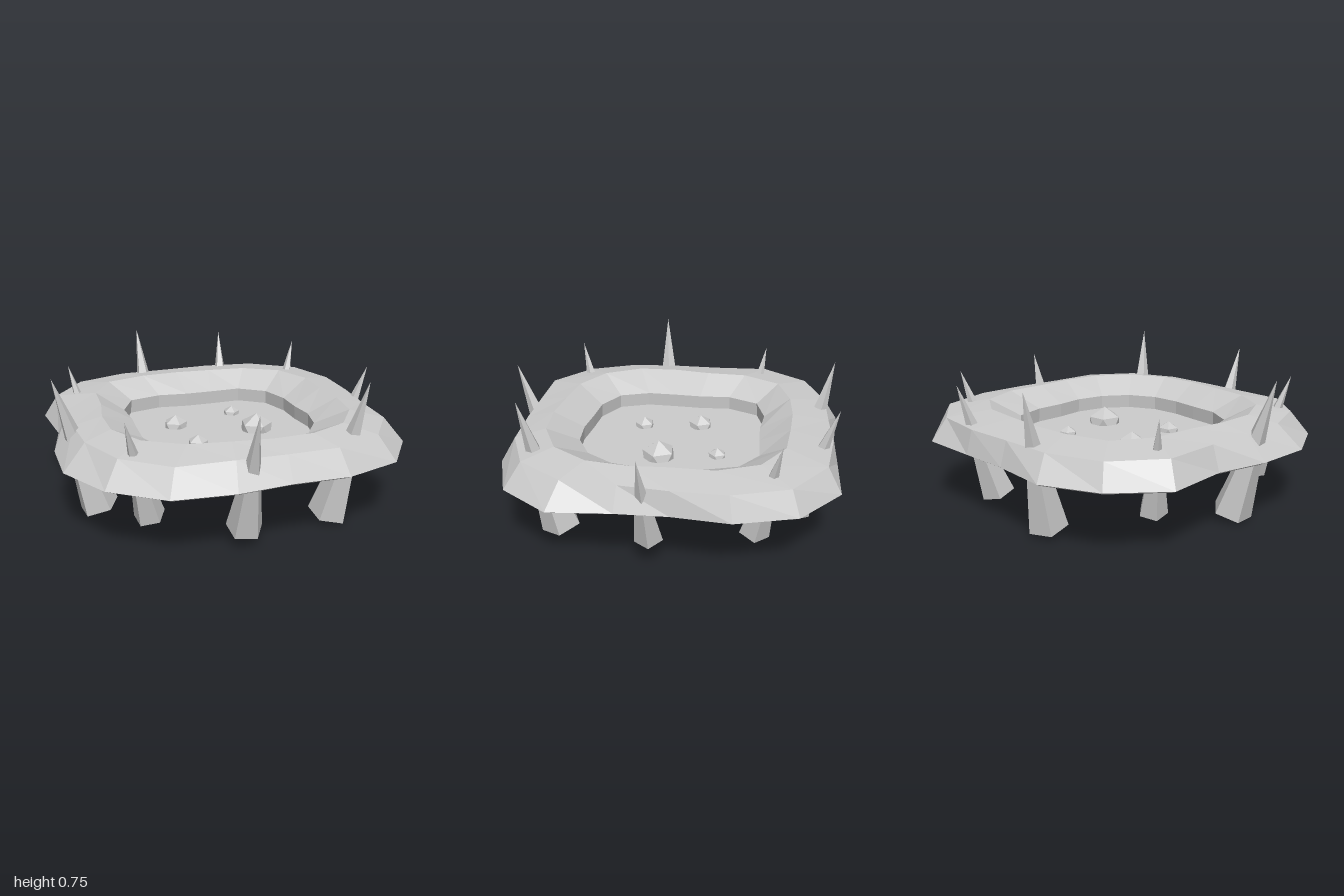
import * as THREE from 'three';

const material = new THREE.MeshStandardMaterial({ color: 0xcccccc, flatShading: true });

function addMesh(parent, name, geometry) {
  const mesh = new THREE.Mesh(geometry, material);
  mesh.name = name;
  parent.add(mesh);
  return mesh;
}

// Closed ring of stone: each loop holds a height and one radius per 18 degree step
function ringGeometry(loops) {
  const n = loops[0].radii.length;
  const point = (j, i) => {
    const { y, radii } = loops[j % loops.length];
    const a = (i % n) / n * Math.PI * 2;
    return [Math.cos(a) * radii[i % n], y, Math.sin(a) * radii[i % n]];
  };
  const positions = [];
  for (let j = 0; j < loops.length; j++) {
    for (let i = 0; i < n; i++) {
      const a = point(j, i), b = point(j + 1, i), c = point(j + 1, i + 1), d = point(j, i + 1);
      positions.push(...a, ...b, ...c, ...a, ...c, ...d);
    }
  }
  const geometry = new THREE.BufferGeometry();
  geometry.setAttribute('position', new THREE.Float32BufferAttribute(positions, 3));
  geometry.computeVertexNormals();
  return geometry;
}

// Five-sided cone from the centre of its base to its tip
function addTooth(parent, base, tip) {
  const from = new THREE.Vector3(...base), to = new THREE.Vector3(...tip);
  const axis = to.clone().sub(from);
  const length = axis.length();
  const tooth = addMesh(parent, 'spike', new THREE.ConeGeometry(length * 0.14, length, 5));
  tooth.position.copy(from).add(to).multiplyScalar(0.5);
  tooth.quaternion.setFromUnitVectors(new THREE.Vector3(0, 1, 0), axis.normalize());
}

export function createModel() {
  const model = new THREE.Group();
  model.name = 'spikedPool';

  // Uneven rim: widest edge, upper shoulder, raised lip, inner edge
  const outer = [0.99, 0.915, 0.84, 0.885, 0.975, 0.99, 0.965, 0.89, 0.85, 1.0,
    1.0, 0.96, 0.86, 0.88, 1.0, 1.0, 0.91, 0.81, 0.83, 0.97];
  const shoulder = [0.89, 0.84, 0.78, 0.79, 0.89, 0.89, 0.84, 0.79, 0.80, 0.92,
    0.94, 0.88, 0.82, 0.85, 0.92, 0.94, 0.865, 0.79, 0.78, 0.865];
  const lip = [0.71, 0.68, 0.64, 0.63, 0.68, 0.71, 0.69, 0.64, 0.62, 0.69,
    0.73, 0.67, 0.63, 0.63, 0.69, 0.72, 0.68, 0.62, 0.64, 0.69];
  const inner = [0.525, 0.51, 0.48, 0.47, 0.515, 0.545, 0.505, 0.46, 0.46, 0.53,
    0.575, 0.52, 0.46, 0.47, 0.54, 0.55, 0.50, 0.46, 0.485, 0.51];
  addMesh(model, 'rim', ringGeometry([
    { y: 0.33, radii: outer.map(r => r * 0.97) },
    { y: 0.345, radii: outer },
    { y: 0.467, radii: shoulder },
    { y: 0.497, radii: lip },
    { y: 0.41, radii: inner },
    { y: 0.325, radii: inner.map(r => r * 1.01) },
  ]));

  // Liquid disc filling the rim
  const pool = addMesh(model, 'pool', new THREE.CylinderGeometry(0.6, 0.6, 0.045, 20));
  pool.position.y = 0.3125;

  // Bubbles half sunk in the disc: x, z, radius
  const bubbles = new THREE.Group();
  bubbles.name = 'bubbles';
  model.add(bubbles);
  for (const [x, z, r] of [[-0.08, -0.28, 0.05], [0.17, -0.11, 0.095], [-0.23, 0.07, 0.07], [0.025, 0.25, 0.058]]) {
    const geometry = new THREE.IcosahedronGeometry(r, 0).rotateZ(0.5536);
    addMesh(bubbles, 'bubble', geometry).position.set(x, 0.33, z);
  }

  // Long spikes piercing the rim and standing on the ground
  const spikes = new THREE.Group();
  spikes.name = 'spikes';
  model.add(spikes);
  const teeth = [
    [[0.67, 0.025, 0.05], [0.86, 0.745, 0.07]],
    [[0.44, 0.075, 0.51], [0.585, 0.695, 0.65]],
    [[0.03, 0.12, 0.70], [0.045, 0.645, 0.89]],
    [[-0.37, 0.035, 0.58], [-0.48, 0.735, 0.76]],
    [[-0.68, 0.145, 0.20], [-0.83, 0.63, 0.23]],
    [[-0.64, 0.04, -0.30], [-0.795, 0.73, -0.37]],
    [[-0.33, 0.09, -0.61], [-0.45, 0.675, -0.765]],
    [[0, 0.12, -0.69], [0.01, 0.65, -0.875]],
    [[0.47, 0.14, -0.47], [0.605, 0.635, -0.585]],
  ];
  for (const [base, tip] of teeth) addTooth(spikes, base, tip);

  return model;
}
